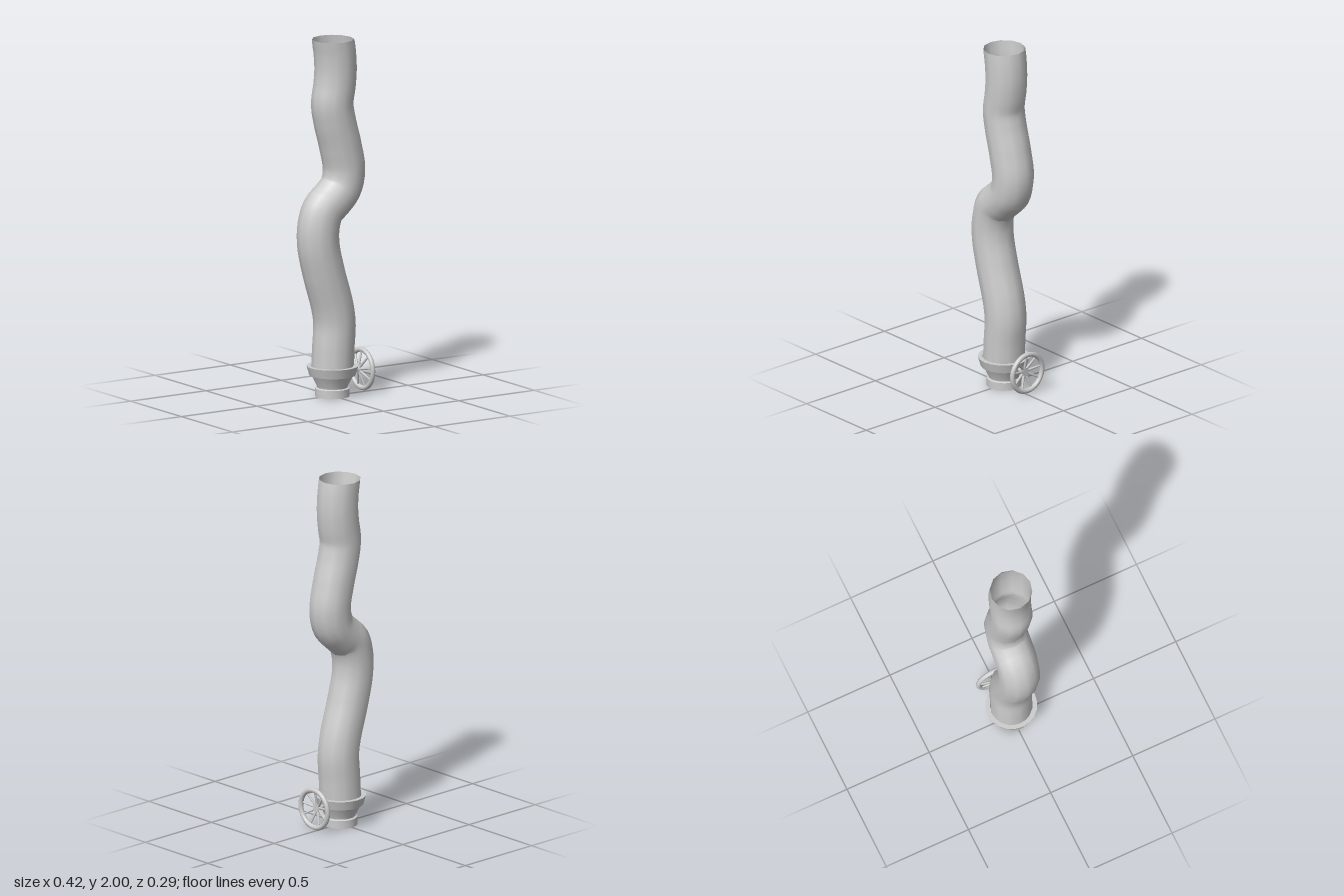
import * as THREE from 'three';
import { toCreasedNormals } from 'three/addons/utils/BufferGeometryUtils.js';

export function createModel() {
  const model = new THREE.Group();
  const solid = new THREE.MeshStandardMaterial({ color: 0xcccccc });
  const open = new THREE.MeshStandardMaterial({ color: 0xcccccc, side: THREE.DoubleSide });
  const add = (name, geometry, material = solid, parent = model) => {
    const mesh = new THREE.Mesh(geometry, material);
    mesh.name = name;
    parent.add(mesh);
    return mesh;
  };

  // Winding open pipe, twelve sided
  const path = new THREE.CatmullRomCurve3([
    [0, 0.15], [0.006, 0.27], [0.014, 0.4], [0, 0.5], [-0.058, 0.7], [-0.092, 0.85],
    [-0.092, 0.96], [-0.062, 1.05], [0, 1.105], [0.055, 1.165], [0.077, 1.26],
    [0.052, 1.4], [0.015, 1.54], [-0.001, 1.64], [0.014, 1.74], [0.021, 1.83],
    [0.015, 1.93], [0.003, 2],
  ].map(([x, y]) => new THREE.Vector3(x, y, 0)));
  const rings = 72, sides = 12;
  const pipe = new THREE.TubeGeometry(path, rings, 0.117, sides);
  const pos = pipe.attributes.position;
  // Cut the upper end level
  for (let i = 0; i <= sides; i++) pos.setY(rings * (sides + 1) + i, 2);
  add('pipe', pipe, open);

  // Valve body: foot ring, neck, cone and flange, with a closed bore
  const profile = [
    [0, 0.06], [0.062, 0.06], [0.062, 0], [0.095, 0], [0.095, 0.045], [0.084, 0.05],
    [0.086, 0.058], [0.117, 0.118], [0.128, 0.118], [0.143, 0.17], [0.118, 0.17],
    [0.116, 0.155], [0, 0.155],
  ].map(([x, y]) => new THREE.Vector2(x, y));
  add('valveBody', toCreasedNormals(new THREE.LatheGeometry(profile, 20), 0.5), open);

  // Handwheel on the side, its axis along x
  const wheel = new THREE.Group();
  wheel.name = 'handwheel';
  wheel.position.set(0, 0.13, 0);
  model.add(wheel);

  const rim = add('wheelRim', new THREE.TorusGeometry(0.107, 0.014, 10, 36), solid, wheel);
  rim.rotation.y = Math.PI / 2;
  rim.position.x = 0.196;

  const stem = add('valveStem', new THREE.CylinderGeometry(0.012, 0.012, 0.08, 12), solid, wheel);
  stem.rotation.z = -Math.PI / 2;
  stem.position.x = 0.14;

  const hub = add('wheelHub', new THREE.CylinderGeometry(0.024, 0.018, 0.022, 16), solid, wheel);
  hub.rotation.z = -Math.PI / 2;
  hub.position.x = 0.173;

  // Spokes slope outward from the hub to the rim
  const spokes = 9;
  for (let i = 0; i < spokes; i++) {
    const a = (i / spokes) * Math.PI * 2;
    const from = new THREE.Vector3(0.173, 0.016 * Math.cos(a), 0.016 * Math.sin(a));
    const to = new THREE.Vector3(0.194, 0.103 * Math.cos(a), 0.103 * Math.sin(a));
    const dir = to.clone().sub(from);
    const spoke = add('spoke', new THREE.CylinderGeometry(0.005, 0.008, dir.length(), 8), solid, wheel);
    spoke.position.copy(from).add(to).multiplyScalar(0.5);
    spoke.quaternion.setFromUnitVectors(new THREE.Vector3(0, 1, 0), dir.normalize());
  }
  return model;
}
